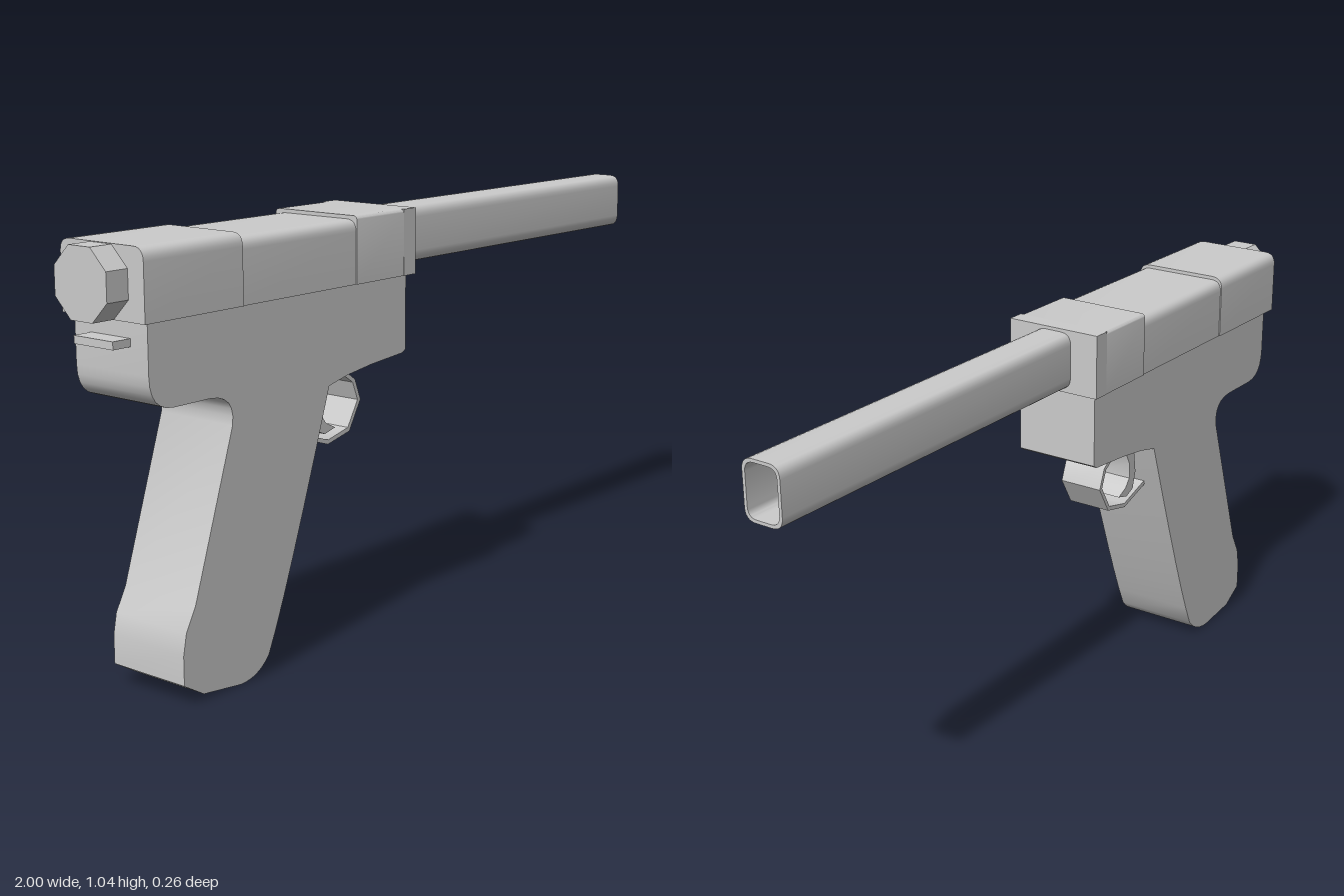
import * as THREE from 'three';
import { toCreasedNormals } from 'three/addons/utils/BufferGeometryUtils.js';

const material = new THREE.MeshStandardMaterial({ color: 0xcccccc });

export function createModel() {
  const group = new THREE.Group();

  const add = (name, geometry) => {
    const mesh = new THREE.Mesh(toCreasedNormals(geometry, 0.6), material);
    mesh.name = name;
    group.add(mesh);
    return mesh;
  };

  // Side profile (x, y) given a total width across z
  const sidePlate = (name, shape, width) => {
    const g = new THREE.ExtrudeGeometry(shape, { depth: width, bevelEnabled: false, curveSegments: 6 });
    add(name, g.translate(0, 0, -width / 2));
  };

  // Cross-section (z, y) swept along x
  const sweepX = (name, shape, x0, x1) => {
    const g = new THREE.ExtrudeGeometry(shape, { depth: x1 - x0, bevelEnabled: false, curveSegments: 6 });
    add(name, g.rotateY(Math.PI / 2).translate(x0, 0, 0));
  };

  const polygon = (points) => new THREE.Shape(points.map(([x, y]) => new THREE.Vector2(x, y)));

  // Rectangle of half width w from y0 to y1, with top radius rt and bottom radius rb
  const roundedRect = (w, y0, y1, rt, rb, Type = THREE.Shape) => {
    const s = new Type();
    s.moveTo(-w + rb, y0);
    s.lineTo(w - rb, y0);
    if (rb) s.quadraticCurveTo(w, y0, w, y0 + rb);
    s.lineTo(w, y1 - rt);
    if (rt) s.quadraticCurveTo(w, y1, w - rt, y1);
    s.lineTo(-w + rt, y1);
    if (rt) s.quadraticCurveTo(-w, y1, -w, y1 - rt);
    s.lineTo(-w, y0 + rb);
    if (rb) s.quadraticCurveTo(-w, y0, -w + rb, y0);
    return s;
  };

  // Frame with raked grip
  const frame = new THREE.Shape();
  frame.moveTo(-0.92, 0.876);
  frame.lineTo(-0.92, 0.76);
  frame.quadraticCurveTo(-0.92, 0.685, -0.85, 0.683);
  frame.lineTo(-0.74, 0.683);
  frame.quadraticCurveTo(-0.66, 0.68, -0.672, 0.61);
  [[-0.8, 0.225], [-0.83, 0.17], [-0.84, 0.12], [-0.84, 0.05], [-0.78, 0.014], [-0.66, 0]]
    .forEach(([x, y]) => frame.lineTo(x, y));
  frame.quadraticCurveTo(-0.6, 0, -0.565, 0.045);
  frame.quadraticCurveTo(-0.5, 0.18, -0.345, 0.645);
  [[-0.28, 0.66], [-0.19, 0.672], [-0.07, 0.682], [-0.058, 0.69], [-0.058, 0.876]]
    .forEach(([x, y]) => frame.lineTo(x, y));
  sidePlate('frameAndGrip', frame, 0.224);

  // Upper receiver sections
  sweepX('receiverRear', roundedRect(0.127, 0.875, 1.036, 0.03, 0), -0.94, -0.645);
  sweepX('receiverMiddle', roundedRect(0.124, 0.875, 1.027, 0.028, 0), -0.645, -0.26);
  sweepX('receiverFront', roundedRect(0.127, 0.875, 1.036, 0.012, 0), -0.26, -0.085);
  sweepX('receiverFrontPlate', roundedRect(0.128, 0.875, 1.036, 0, 0), -0.085, -0.04);

  // Hollow barrel
  const barrel = roundedRect(0.052, 0.885, 1.028, 0.03, 0.03);
  barrel.holes.push(roundedRect(0.044, 0.893, 1.02, 0.025, 0.025, THREE.Path));
  sweepX('barrel', barrel, -0.05, 1);

  // Octagonal rear knob and the tab below it
  const knob = new THREE.CylinderGeometry(0.086, 0.086, 0.07, 8);
  add('rearKnob', knob.rotateY(Math.PI / 8).rotateZ(Math.PI / 2).translate(-0.965, 0.955, 0));
  add('rearTab', new THREE.BoxGeometry(0.07, 0.018, 0.12).translate(-0.935, 0.827, 0));

  // Trigger guard: a thin bent band
  const outer = [[-0.395, 0.52], [-0.29, 0.485], [-0.21, 0.503], [-0.168, 0.575], [-0.188, 0.628], [-0.245, 0.668]];
  const inner = [[-0.26, 0.664], [-0.197, 0.622], [-0.179, 0.576], [-0.216, 0.513], [-0.289, 0.496], [-0.39, 0.53]];
  sidePlate('triggerGuard', polygon([...outer, ...inner]), 0.118);

  // Trigger with a hooked tip
  sidePlate('trigger', polygon([
    [-0.325, 0.66], [-0.335, 0.62], [-0.342, 0.57], [-0.33, 0.525], [-0.3, 0.512], [-0.262, 0.522],
    [-0.295, 0.538], [-0.312, 0.56], [-0.312, 0.6], [-0.28, 0.665],
  ]), 0.116);

  return group;
}
